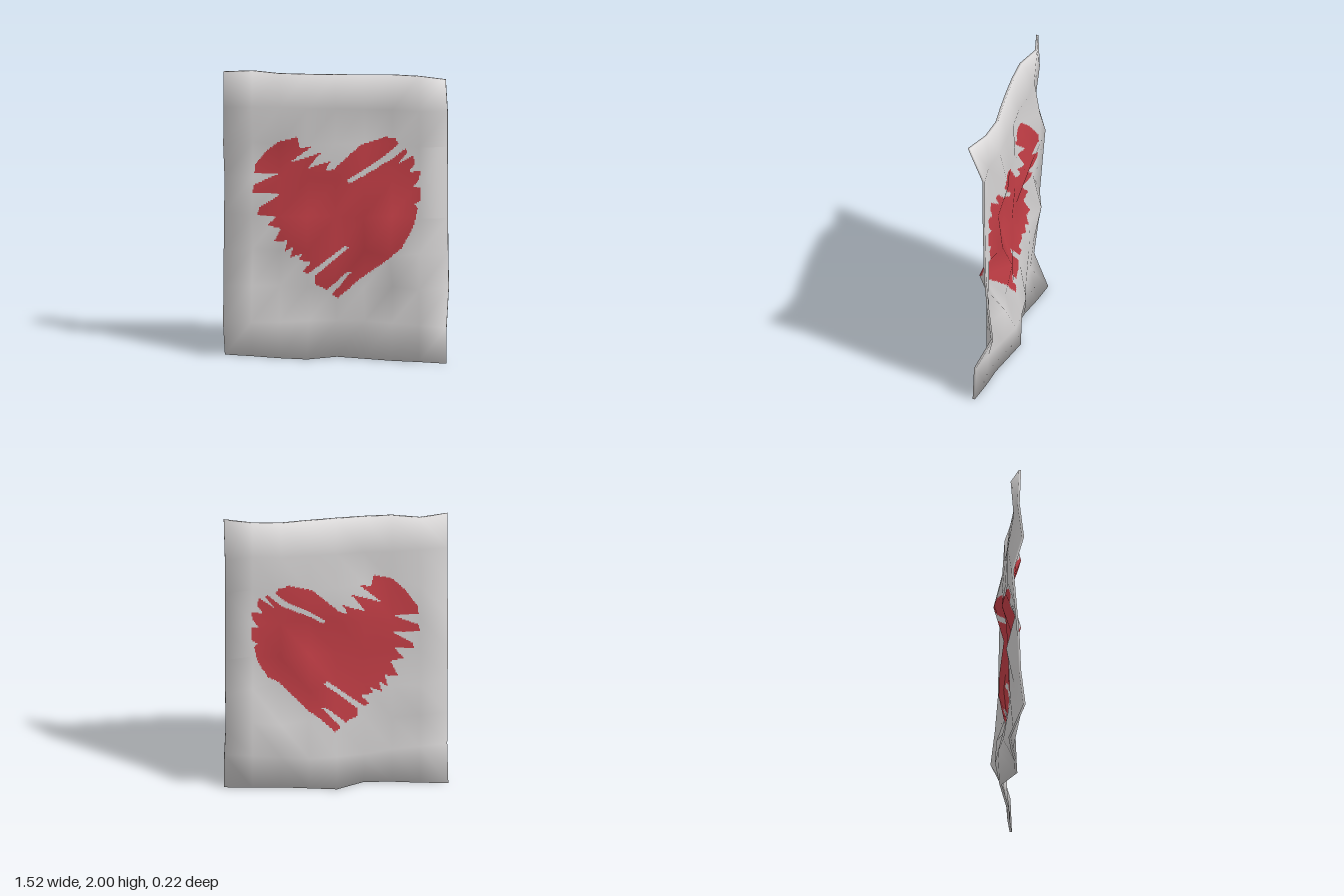
import * as THREE from 'three';

const N = 8, FINE = 24;          // sheet cells per side, paint cells per sheet cell
const W = 1.52, H = 2, HALF = 0.008;
const SOFT = 0.65;               // how strongly the creases turn the normals

// Depth of the crumpled sheet, in hundredths: rows from top to bottom, columns from -x to +x
const DEPTH = [
  [5, 0, 5, 4.5, 3, 1, -1.5, 0, 6.5],
  [4, 2, 0, 1, -1, -2, -3, -1, -4],
  [7, -2, 6, 4, -2, -4, -9, -1, -4],
  [0, -2, -3, -5, -2, 0, -2, -1, -4.5],
  [2, 3, 6, 3, 0, 1, -5, -1, -5],
  [4, -3, -1, 1, 0, -6, 10, -1, -7],
  [5, 2, 0, 0, -1, -1, -7, -1, -10],
  [8, 5, 2, -4, -7, -8.5, -5, -1, 2],
  [-2, 0, 3, 4, -6, -3, 0, 1, 3],
];

// Brushed heart outline with stroke gaps, in hundredths
const HEART = [
  -2, 132, 17, 150, 33, 155, 40, 154, 42, 150, 33, 142, 7, 125, 9, 123, 38, 140, 47, 148,
  49, 146, 42, 137, 53, 144, 54, 139, 50, 132, 58, 134, 57, 128, 53, 122, 58, 122, 58, 113,
  54, 110, 56, 107, 53, 94, 46, 81, 33, 70, 13, 53, 1, 42, -3, 45, 0, 48, 10, 60,
  8, 61, -6, 48, -14, 52, -14, 58, 9, 78, 6, 79, -19, 59, -22, 61, -17, 67, -25, 69,
  -23, 73, -31, 70, -29, 78, -35, 74, -33, 82, -42, 81, -37, 91, -46, 93, -40, 100, -53, 100,
  -52, 105, -37, 115, -57, 115, -56, 120, -39, 128, -56, 128, -55, 134, -47, 145, -39, 152, -26, 156,
  -24, 148, -16, 149, -31, 137, -10, 144, -20, 132, -3, 138, -8, 131,
];

function inHeart(x, y) {
  let inside = false;
  const n = HEART.length;
  for (let i = 0, j = n - 2; i < n; j = i, i += 2) {
    const xi = HEART[i] / 100, yi = HEART[i + 1] / 100;
    const xj = HEART[j] / 100, yj = HEART[j + 1] / 100;
    if ((yi > y) !== (yj > y) && x < xi + ((y - yi) * (xj - xi)) / (yj - yi)) inside = !inside;
  }
  return inside;
}

const clamp = (k) => Math.min(N, Math.max(0, k));
const depth = (i, j) => DEPTH[clamp(j)][clamp(i)] / 100;
const xAt = (u) => (u / N - 0.5) * W;
const yAt = (v) => (1 - v / N) * H;

// Corner of the sheet on one side (+1 front, -1 back); normals round over at the rim
function corner(i, j, side) {
  const dx = (depth(i + 1, j) - depth(i - 1, j)) / (xAt(clamp(i + 1)) - xAt(clamp(i - 1)));
  const dy = (depth(i, j - 1) - depth(i, j + 1)) / (yAt(clamp(j - 1)) - yAt(clamp(j + 1)));
  const n = new THREE.Vector3(-dx * SOFT, -dy * SOFT, 1).normalize().multiplyScalar(side);
  n.x += i === 0 ? -1 : i === N ? 1 : 0;
  n.y += j === 0 ? 1 : j === N ? -1 : 0;
  return { p: new THREE.Vector3(xAt(i), yAt(j), depth(i, j) + side * HALF), n: n.normalize() };
}

// Point at (a, b) inside a sheet cell, flat on the cell's two triangles
function blend(c, a, b) {
  const upper = a + b <= 1;
  const w = upper ? [1 - a - b, a, b] : [a + b - 1, 1 - b, 1 - a];
  const mix = (k) => new THREE.Vector3().addScaledVector(c[upper ? 0 : 3][k], w[0])
    .addScaledVector(c[1][k], w[1]).addScaledVector(c[2][k], w[2]);
  return { p: mix('p'), n: mix('n').normalize() };
}

class Surface {
  constructor() { this.pos = []; this.nor = []; }
  // Corners: top left, top right, bottom left, bottom right
  quad([a, b, c, d], flip) {
    for (const v of flip ? [a, b, c, b, d, c] : [a, c, b, b, c, d]) {
      this.pos.push(...v.p.toArray());
      this.nor.push(...v.n.toArray());
    }
  }
  mesh(name, material) {
    const g = new THREE.BufferGeometry();
    g.setAttribute('position', new THREE.Float32BufferAttribute(this.pos, 3));
    g.setAttribute('normal', new THREE.Float32BufferAttribute(this.nor, 3));
    const m = new THREE.Mesh(g, material);
    m.name = name;
    return m;
  }
}

// One face of the sheet, split into bare paper and painted heart
function buildFace(side) {
  const paper = new Surface(), heart = new Surface();
  for (let j = 0; j < N; j++) for (let i = 0; i < N; i++) {
    const c = [corner(i, j, side), corner(i + 1, j, side), corner(i, j + 1, side), corner(i + 1, j + 1, side)];
    const painted = [];
    for (let k = 0; k < FINE * FINE; k++) {
      painted.push(inHeart(xAt(i + (k % FINE + 0.5) / FINE), yAt(j + (Math.floor(k / FINE) + 0.5) / FINE)));
    }
    // Cells of one colour stay whole
    if (painted.every((q) => q === painted[0])) {
      (painted[0] ? heart : paper).quad(c, side < 0);
      continue;
    }
    painted.forEach((q, k) => {
      const a = (k % FINE) / FINE, b = Math.floor(k / FINE) / FINE, s = 1 / FINE;
      const cell = [blend(c, a, b), blend(c, a + s, b), blend(c, a, b + s), blend(c, a + s, b + s)];
      (q ? heart : paper).quad(cell, side < 0);
    });
  }
  return { paper, heart };
}

// Narrow edge joining front and back all the way round
function buildRim() {
  const rim = new Surface();
  const loop = [];
  for (let k = 0; k < N; k++) loop.push([k, 0]);
  for (let k = 0; k < N; k++) loop.push([N, k]);
  for (let k = N; k > 0; k--) loop.push([k, N]);
  for (let k = N; k > 0; k--) loop.push([0, k]);
  loop.forEach(([i, j], k) => {
    const [i2, j2] = loop[(k + 1) % loop.length];
    rim.quad([corner(i, j, -1), corner(i2, j2, -1), corner(i, j, 1), corner(i2, j2, 1)], false);
  });
  return rim;
}

export function createModel() {
  const group = new THREE.Group();
  group.name = 'paintedPaper';
  const paperMat = new THREE.MeshStandardMaterial({ color: 0xd8d6d6 });
  paperMat.name = 'paper grey';
  const heartMat = new THREE.MeshStandardMaterial({ color: 0xc84048 });
  heartMat.name = 'heart red';

  for (const [side, label] of [[1, 'Front'], [-1, 'Back']]) {
    const face = buildFace(side);
    group.add(face.paper.mesh('paper' + label, paperMat), face.heart.mesh('heart' + label, heartMat));
  }
  group.add(buildRim().mesh('paperRim', paperMat));
  return group;
}
